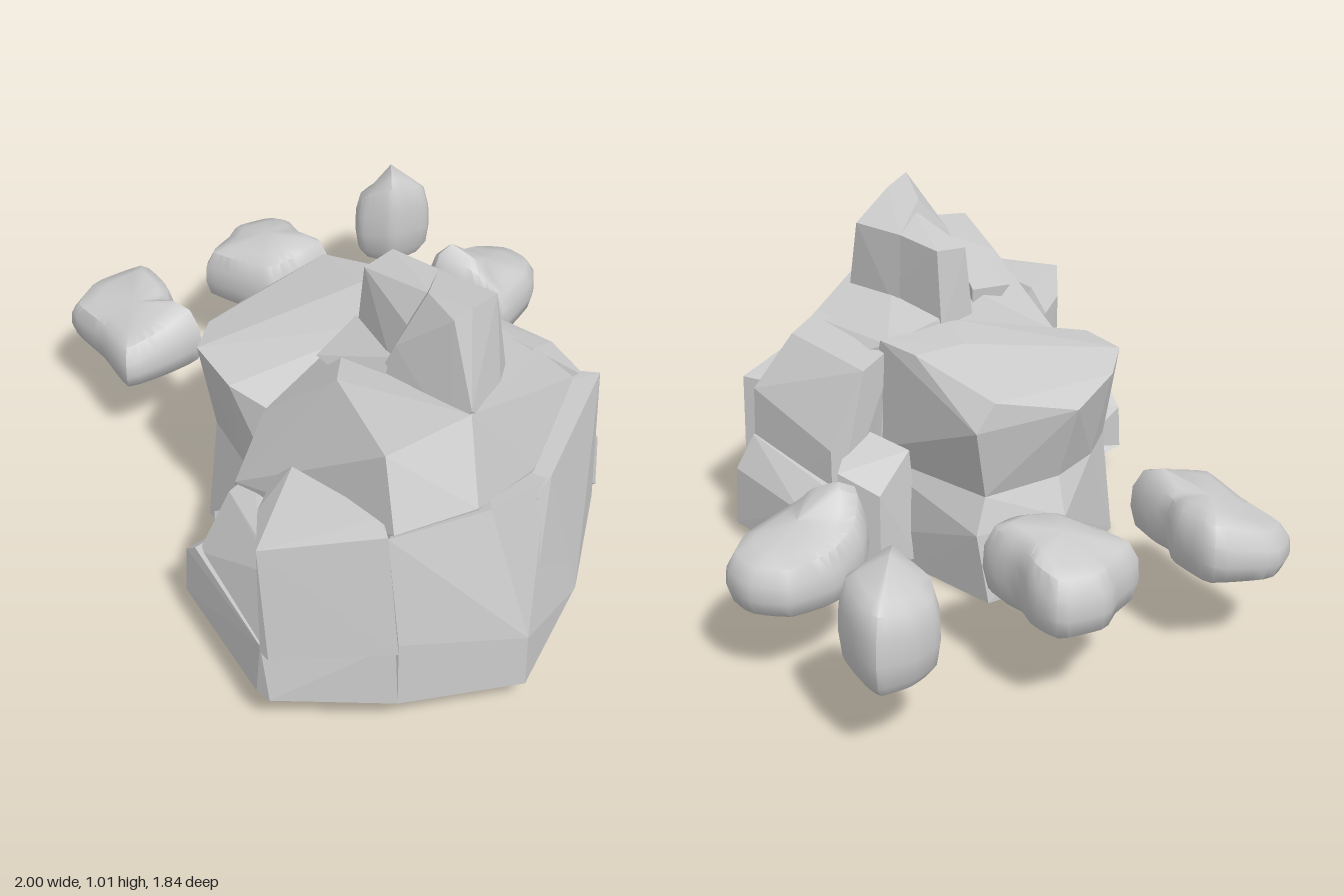
import * as THREE from 'three';
import { toCreasedNormals } from 'three/addons/utils/BufferGeometryUtils.js';
import { ConvexGeometry } from 'three/addons/geometries/ConvexGeometry.js';

const faceted = new THREE.MeshStandardMaterial({ color: 0xcccccc, flatShading: true });
const smooth = new THREE.MeshStandardMaterial({ color: 0xcccccc });

// faceted chunk of rock: hull of its corner points [x, y, z]
function chunk(name, corners) {
  const mesh = new THREE.Mesh(new ConvexGeometry(corners.map(p => new THREE.Vector3(...p))), faceted);
  mesh.name = name;
  return mesh;
}

// worn stone: plan outline of [x, top height, z], lofted through scaled rings and closed by a crown
function stone(name, base, crown, outline) {
  const n = 36;
  const points = outline.map(p => new THREE.Vector3(...p)).reverse();
  const rim = new THREE.CatmullRomCurve3(points, true, 'catmullrom', 0.2).getSpacedPoints(n).slice(0, n);
  const mid = rim.reduce((sum, p) => sum.add(p), new THREE.Vector3()).divideScalar(n);
  const profile = [[0, 0], [0.72, 0], [0.93, 0.14], [1, 0.4], [0.98, 0.68], [0.85, 0.94], [0.62, 1.02], [0, 1]];
  const pos = [], index = [];
  profile.forEach(([s, t], r) => rim.forEach(p => {
    const top = r === profile.length - 1 ? crown : p.y;
    pos.push(mid.x + (p.x - mid.x) * s, base + (top - base) * t, mid.z + (p.z - mid.z) * s);
  }));
  for (let r = 0; r < profile.length - 1; r++) {
    for (let i = 0; i < n; i++) {
      const a = r * n + i, b = r * n + (i + 1) % n, c = a + n, d = b + n;
      if (r > 0) index.push(a, b, c);
      if (r < profile.length - 2) index.push(b, d, c);
    }
  }
  const geo = new THREE.BufferGeometry();
  geo.setAttribute('position', new THREE.Float32BufferAttribute(pos, 3));
  geo.setIndex(index);
  const mesh = new THREE.Mesh(toCreasedNormals(geo, 0.8), smooth);
  mesh.name = name;
  return mesh;
}

export function createModel() {
  const group = new THREE.Group();
  group.name = 'rockFormation';
  const boulder = new THREE.Group();
  boulder.name = 'boulder';
  group.add(boulder);

  // left mass, pinched at a waist
  const waist = [[-0.26, 0.32, 0.14], [-0.23, 0.32, -0.12], [-0.15, 0.34, 0.43], [0.02, 0.32, 0.48],
    [0.2, 0.3, 0.5], [0.3, 0.3, -0.15], [-0.21, 0.32, 0.32]];
  boulder.add(chunk('leftUpper', [...waist,
    [-0.335, 0.55, 0.14], [-0.27, 0.62, -0.12], [-0.26, 0.54, -0.18], [-0.17, 0.61, 0.47], [-0.27, 0.59, 0.34],
    [0, 0.69, 0], [0.04, 0.68, -0.15], [0.02, 0.6, 0.52], [0.17, 0.57, 0.49], [0.2, 0.68, -0.15], [0.2, 0.69, 0.1]]));
  boulder.add(chunk('leftLower', [...waist,
    [-0.31, 0.21, 0.12], [-0.31, 0.01, 0.12], [-0.28, 0.01, -0.15], [-0.25, 0.22, -0.17], [-0.17, 0.01, 0.46],
    [0.02, 0.015, 0.51], [0.3, 0.06, 0.52], [0.3, 0.04, -0.17], [0.05, 0, -0.16]]));

  // gently dished underside shared by the whole right half
  boulder.add(chunk('underside', [
    [0.16, 0.025, 0.48], [0.05, 0, -0.16], [0.4, 0.01, -0.2], [0.4, 0.03, 0.42], [0.12, 0.1, 0.79], [0.55, 0.11, 0.92],
    [0.6, 0.11, 0.92], [0.83, 0.1, 0.69], [1, 0.08, 0.39], [0.85, 0.07, 0], [0.62, 0.06, -0.36], [0.24, 0.04, -0.36],
    [0.45, 0.25, 0.2]]));

  // central core with the sloping upper shoulder and right wall
  boulder.add(chunk('core', [
    [0.12, 0.12, 0.56], [0.7, 0.12, 0.62], [0.76, 0.12, 0.1], [0.56, 0.12, -0.28], [0.2, 0.12, -0.18],
    [0.17, 0.42, 0.64], [0.14, 0.57, 0.5], [0.22, 0.64, 0.48], [0.39, 0.78, 0.47], [0.72, 0.8, 0.63],
    [0.77, 0.82, 0.38], [0.72, 0.62, 0.66], [0.79, 0.62, 0.67], [0.865, 0.62, 0.45], [0.78, 0.52, 0.13],
    [0.57, 0.5, -0.29], [0.6, 0.68, 0.04], [0.18, 0.7, 0.04], [0.55, 0.66, -0.14], [0.18, 0.67, -0.14],
    [0.2, 0.73, 0.25]]));

  // stepped front: base, spur, middle ledge, tall block
  boulder.add(chunk('frontBase', [
    [0.12, 0.1, 0.79], [0.12, 0.15, 0.6], [0.55, 0.11, 0.92], [0.6, 0.11, 0.92], [0.83, 0.1, 0.69], [0.7, 0.15, 0.5],
    [0.12, 0.24, 0.78], [0.17, 0.28, 0.79], [0.57, 0.28, 0.92], [0.82, 0.3, 0.69], [0.2, 0.31, 0.6], [0.6, 0.3, 0.6]]));
  boulder.add(chunk('frontSpur', [
    [0.09, 0.1, 0.66], [0.15, 0.1, 0.73], [0.1, 0.29, 0.66], [0.16, 0.32, 0.71], [0.25, 0.12, 0.6], [0.25, 0.35, 0.6]]));
  boulder.add(chunk('frontLedge', [
    [0.18, 0.27, 0.785], [0.18, 0.41, 0.67], [0.41, 0.44, 0.77], [0.55, 0.45, 0.84], [0.18, 0.43, 0.58],
    [0.55, 0.43, 0.6], [0.57, 0.28, 0.915]]));
  boulder.add(chunk('frontBlock', [
    [0.55, 0.28, 0.9], [0.57, 0.26, 0.92], [0.6, 0.25, 0.92], [0.34, 0.44, 0.66], [0.41, 0.45, 0.77],
    [0.34, 0.54, 0.65], [0.41, 0.61, 0.65], [0.42, 0.55, 0.78], [0.57, 0.59, 0.92], [0.73, 0.63, 0.65],
    [0.79, 0.625, 0.69], [0.83, 0.27, 0.69], [0.5, 0.3, 0.5]]));

  // right flank: tall forward column and a lower ledge running to the back
  boulder.add(chunk('rightColumn', [
    [1, 0.08, 0.39], [1, 0.24, 0.39], [0.83, 0.1, 0.69], [0.83, 0.3, 0.69], [0.79, 0.62, 0.69], [0.89, 0.62, 0.43],
    [0.83, 0.52, 0.14], [0.86, 0.08, 0.02], [0.6, 0.5, 0.4], [0.6, 0.15, 0.4], [0.6, 0.5, 0.14]]));
  boulder.add(chunk('rightLedge', [
    [0.98, 0.09, 0.36], [0.98, 0.24, 0.36], [0.85, 0.52, 0.2], [0.83, 0.52, 0.12], [0.61, 0.5, -0.36],
    [0.62, 0.06, -0.36], [0.85, 0.07, 0], [0.45, 0.5, 0], [0.45, 0.15, 0], [0.5, 0.49, -0.3], [0.5, 0.15, -0.3]]));

  // summit with a lower shelf beside it
  boulder.add(chunk('peak', [
    [0.65, 1.01, 0.32], [0.48, 0.975, 0.23], [0.47, 0.86, 0.34], [0.77, 0.83, 0.38], [0.55, 0.92, 0.04],
    [0.36, 0.92, 0.06], [0.6, 0.66, 0.04], [0.36, 0.66, 0.05], [0.72, 0.66, 0.2], [0.42, 0.74, 0.36],
    [0.72, 0.74, 0.4], [0.62, 0.985, 0.22]]));
  boulder.add(chunk('peakShelf', [
    [0.19, 0.91, 0.06], [0.19, 0.9, 0.17], [0.36, 0.92, 0.06], [0.47, 0.95, 0.2], [0.45, 0.86, 0.26],
    [0.17, 0.66, 0.06], [0.18, 0.68, 0.19], [0.5, 0.66, 0.05], [0.45, 0.68, 0.3]]));
  boulder.add(chunk('peakStep', [
    [0.19, 0.76, 0.2], [0.31, 0.77, 0.3], [0.22, 0.73, 0.38], [0.46, 0.82, 0.34], [0.45, 0.7, 0.4], [0.2, 0.6, 0.2]]));

  // back steps
  boulder.add(chunk('backSlope', [
    [0.2, 0.38, -0.34], [0.57, 0.47, -0.35], [0.18, 0.61, -0.23], [0.53, 0.63, -0.23], [0.18, 0.67, -0.1],
    [0.55, 0.67, -0.12], [0.2, 0.1, -0.34], [0.57, 0.1, -0.36], [0.3, 0.3, 0.1]]));
  boulder.add(chunk('backFoot', [
    [0.22, 0.04, -0.43], [0.58, 0.04, -0.43], [0.58, 0.22, -0.42], [0.24, 0.2, -0.43], [0.2, 0.27, -0.36],
    [0.57, 0.32, -0.36], [0.25, 0.05, -0.1], [0.5, 0.3, -0.1]]));
  boulder.add(chunk('backCorner', [
    [0.05, 0.04, -0.28], [0.05, 0.27, -0.28], [0.17, 0.32, -0.34], [0.18, 0.04, -0.35], [0.06, 0.38, -0.16],
    [0.25, 0.42, -0.22], [0.25, 0.05, -0.1], [0.04, 0.03, -0.14]]));

  // loose stones: name, base height, crown height, outline
  const stones = [
    ['stoneSmall', 0.2, 0.53, [[-0.73, 0.44, -0.91], [-0.65, 0.45, -0.91], [-0.53, 0.47, -0.87], [-0.55, 0.51, -0.71],
      [-0.66, 0.45, -0.66], [-0.73, 0.43, -0.71], [-0.75, 0.43, -0.8]]],
    ['stoneBack', 0.2, 0.41, [[-0.2, 0.36, -0.92], [-0.09, 0.36, -0.91], [-0.02, 0.37, -0.82], [0.03, 0.38, -0.63],
      [-0.06, 0.45, -0.57], [-0.2, 0.49, -0.52], [-0.27, 0.42, -0.58], [-0.31, 0.38, -0.7], [-0.29, 0.36, -0.85]]],
    ['stoneMiddle', 0.22, 0.45, [[-0.9, 0.41, -0.3], [-0.86, 0.41, -0.43], [-0.76, 0.43, -0.44], [-0.66, 0.44, -0.4],
      [-0.53, 0.45, -0.4], [-0.52, 0.45, -0.3], [-0.55, 0.43, -0.16], [-0.67, 0.42, -0.12], [-0.82, 0.41, -0.1],
      [-0.86, 0.41, -0.22]]],
    ['stoneFront', 0.22, 0.4, [[-1, 0.38, 0.23], [-0.91, 0.42, 0.07], [-0.75, 0.41, 0.09], [-0.67, 0.4, 0.15],
      [-0.52, 0.44, 0.17], [-0.53, 0.41, 0.3], [-0.57, 0.38, 0.43], [-0.76, 0.37, 0.38], [-0.95, 0.36, 0.35]]],
  ];
  stones.forEach(args => group.add(stone(...args)));
  return group;
}
